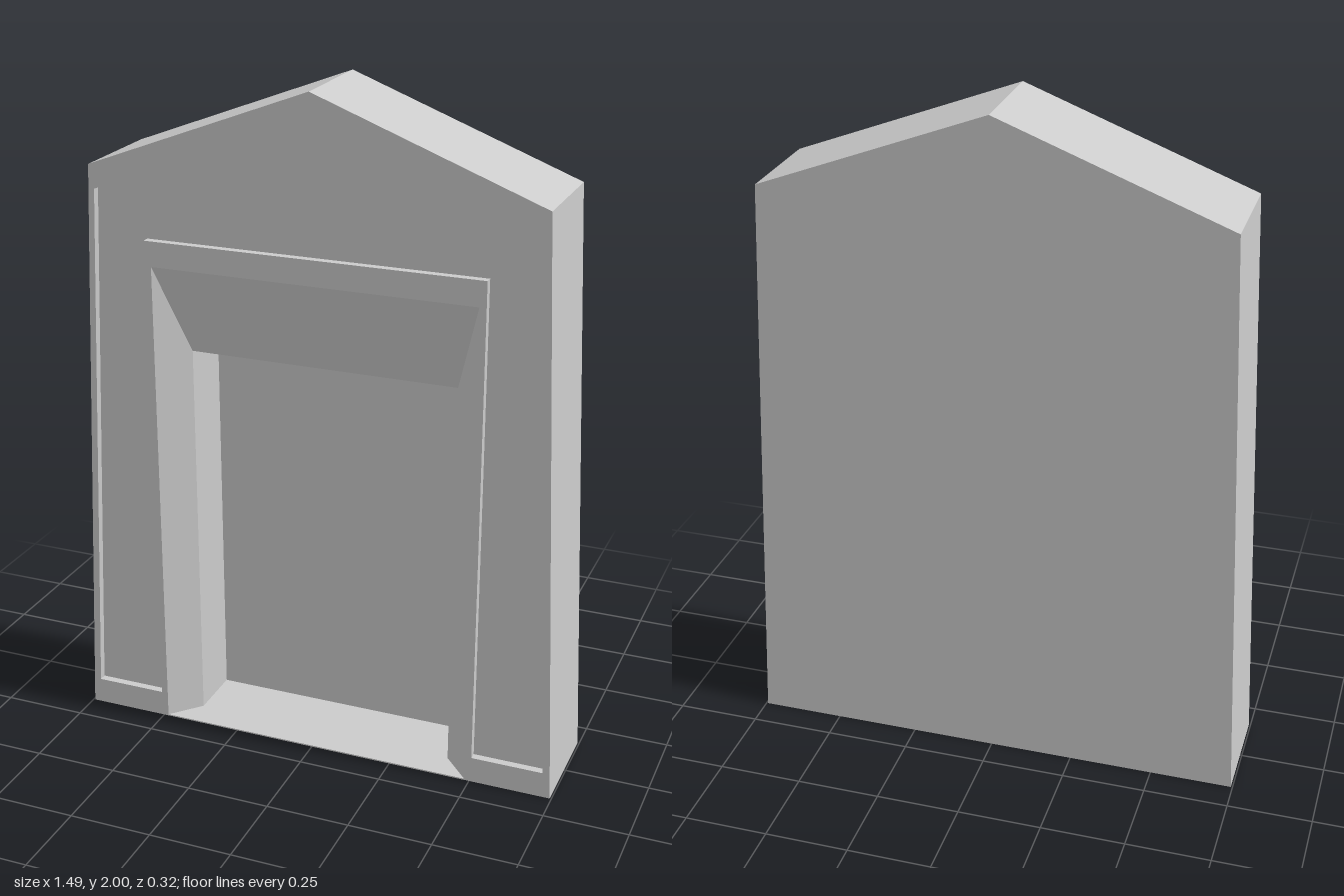
import * as THREE from 'three';

const material = new THREE.MeshStandardMaterial({ color: 0xcccccc, flatShading: true });
const BACK = -0.16, NICHE = -0.1, SPLAY = 0.073, PANEL = 0.137, FRONT = 0.16;
const INNER = [0.405, 1.195], OUTER = [0.485, 1.465];

// half outline on the +x side (bottom to top), mirrored to a closed loop
const mirrored = (half) => [
  ...half,
  ...half.filter(([x]) => x > 0).reverse().map(([x, y]) => [-x, y]),
].map(([x, y]) => new THREE.Vector2(x, y));

const OUTLINE = [[0.745, 0], [0.67, 1.745], [0, 2]];
const PANEL_HALF = [[0.505, 1.54], [0.505, 0.08], [0.72, 0.08], [0.655, 1.675], [0, 1.925]];

// half width and height of the splayed opening at depth z
function openingAt(z) {
  const t = Math.max(0, (z - SPLAY) / (FRONT - SPLAY));
  return INNER.map((v, i) => v + (OUTER[i] - v) * t);
}

// one slice of the wall, its doorway narrowing from z1 back to z0
function wallSlice(name, z0, z1, hasOpening, hasPanel) {
  const [w, h] = openingAt(z1), [w0, h0] = openingAt(z0);
  const half = hasOpening ? [[w, h], [w, 0], ...OUTLINE] : OUTLINE;
  const shape = new THREE.Shape(mirrored(half));
  if (hasPanel) shape.holes.push(new THREE.Path(mirrored(PANEL_HALF)));
  const geometry = new THREE.ExtrudeGeometry(shape, { depth: z1 - z0, bevelEnabled: false });
  const p = geometry.attributes.position;
  for (let i = 0; i < p.count; i++) {
    const x = p.getX(i), y = p.getY(i);
    if (hasOpening && p.getZ(i) < 1e-5 && Math.abs(Math.abs(x) - w) < 1e-4) {
      p.setX(i, Math.sign(x) * w0);
      if (Math.abs(y - h) < 1e-4) p.setY(i, h0);
    }
  }
  geometry.translate(0, 0, z0);
  geometry.computeVertexNormals();
  const mesh = new THREE.Mesh(geometry, material);
  mesh.name = name;
  return mesh;
}

// thin floor filling the foot of the niche
function nicheFloor() {
  const shape = new THREE.Shape(mirrored([
    [OUTER[0], -FRONT], [INNER[0], -SPLAY], [INNER[0], -NICHE],
  ]));
  const geometry = new THREE.ExtrudeGeometry(shape, { depth: 0.004, bevelEnabled: false });
  geometry.rotateX(-Math.PI / 2);
  const mesh = new THREE.Mesh(geometry, material);
  mesh.name = 'nicheFloor';
  return mesh;
}

export function createModel() {
  const group = new THREE.Group();
  group.name = 'gabledDoorway';
  group.add(
    wallSlice('backWall', BACK, NICHE, false, false),
    wallSlice('doorJambs', NICHE, SPLAY, true, false),
    wallSlice('splayedSurround', SPLAY, PANEL, true, false),
    wallSlice('raisedFrame', PANEL, FRONT, true, true),
    nicheFloor(),
  );
  return group;
}
